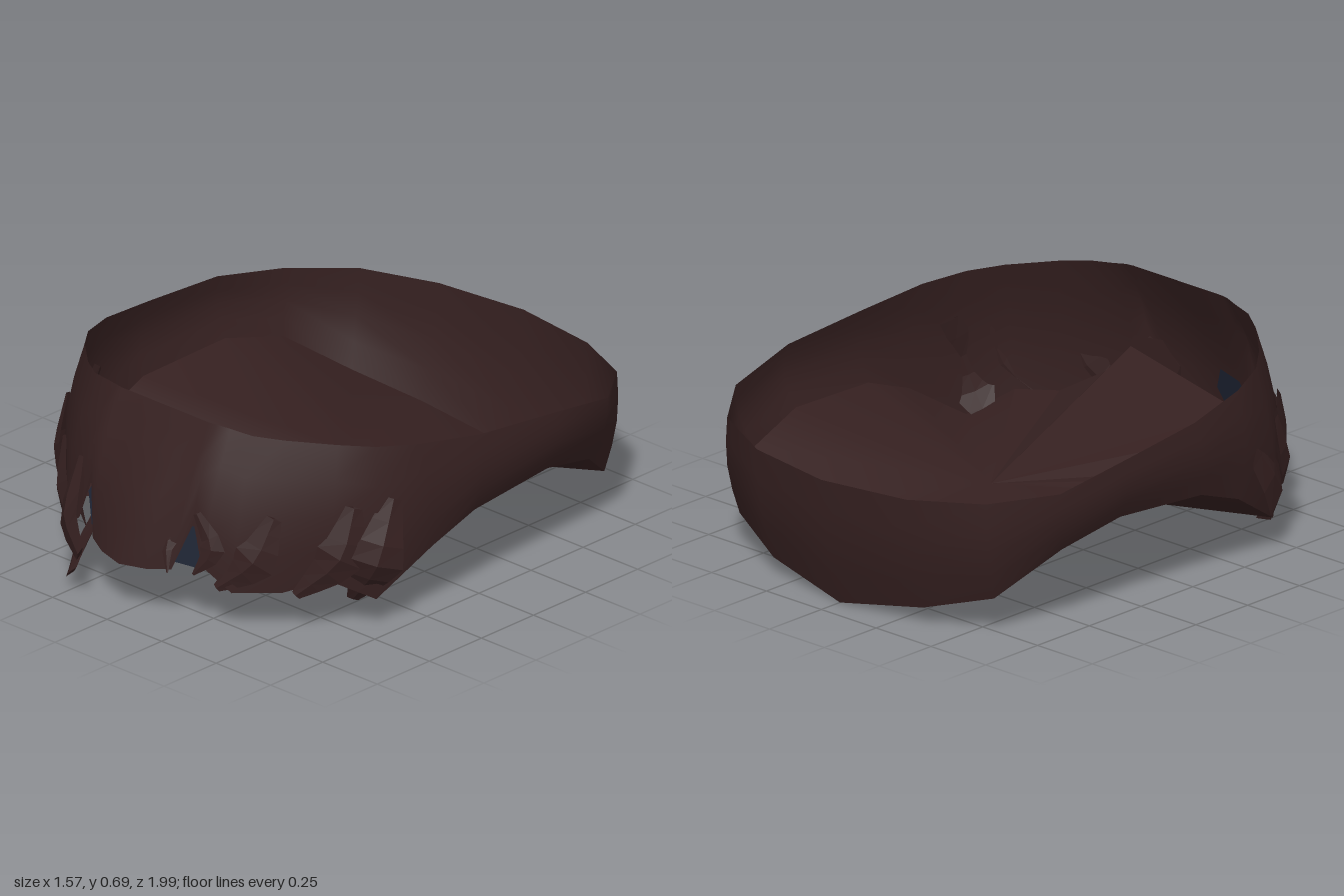
import * as THREE from 'three';

const hair = new THREE.MeshStandardMaterial({ color: 0x352020, side: THREE.DoubleSide });
hair.name = 'darkBrownHair';
const slate = new THREE.MeshStandardMaterial({ color: 0x1f2535, side: THREE.DoubleSide });
slate.name = 'slateBlue';

// Left half of the band, back to front: top rim x y z, then lower edge x y z
const half = [
  [0, 0.46, -1, 0, 0, -0.91],
  [0.34, 0.465, -0.95, 0.34, 0.06, -0.87],
  [0.59, 0.48, -0.83, 0.58, 0.13, -0.78],
  [0.74, 0.5, -0.63, 0.7, 0.28, -0.58],
  [0.775, 0.555, -0.34, 0.74, 0.34, -0.34],
  [0.76, 0.585, 0, 0.76, 0.32, 0.03],
  [0.72, 0.62, 0.25, 0.75, 0.25, 0.22],
  [0.66, 0.64, 0.4, 0.7, 0.11, 0.44],
  [0.58, 0.655, 0.5, 0.6, 0.19, 0.57],
  [0.45, 0.67, 0.62, 0.5, 0.15, 0.68],
  [0.36, 0.678, 0.68, 0.38, 0.15, 0.8],
  [0.28, 0.685, 0.7, 0.28, 0.23, 0.84],
  [0.23, 0.69, 0.715, 0.235, 0.37, 0.83],
  [0.2, 0.69, 0.72, 0.18, 0.2, 0.88],
  [0.1, 0.69, 0.72, 0.1, 0.19, 0.92],
  [0, 0.69, 0.72, 0, 0.185, 0.945],
];
const mirrorRow = ([a, b, c, d, e, f]) => [-a, b, c, -d, e, f];
const ring = [...half, ...half.slice(1, -1).reverse().map(mirrorRow)];

function makeGeometry(positions, indices) {
  const g = new THREE.BufferGeometry();
  g.setAttribute('position', new THREE.Float32BufferAttribute(positions, 3));
  g.setIndex(indices);
  g.computeVertexNormals();
  return g;
}

// Outer wall: rows run from rim to lower edge with a slight outward bulge
function wallGeometry() {
  const rows = 5, n = ring.length, pos = [], idx = [];
  for (let r = 0; r < rows; r++) {
    const t = r / (rows - 1);
    for (const [x0, y0, z0, x1, y1, z1] of ring) {
      const x = x0 + (x1 - x0) * t, z = z0 + (z1 - z0) * t;
      const s = 1 + 0.035 * Math.sin(Math.PI * t) * (z > -0.5 ? 1 : 0.6);
      pos.push(Math.max(-0.785, Math.min(0.785, x * s)), y0 + (y1 - y0) * t, Math.max(-0.99 - 0.01 * (1 - t), z * s));
    }
  }
  for (let r = 0; r < rows - 1; r++) {
    for (let i = 0; i < n; i++) {
      const j = (i + 1) % n, u = r * n, l = u + n;
      idx.push(l + i, u + i, l + j, u + i, u + j, l + j);
    }
  }
  return makeGeometry(pos, idx);
}

// Floor: a fan from one inner point to the edge points, listed clockwise from above
const apex = [0, 0.22, -0.18];
function fanGeometry(edge) {
  const idx = [];
  for (let i = 1; i < edge.length; i++) idx.push(0, i + 1, i);
  return makeGeometry([apex, ...edge].flat(), idx);
}

// Lock: flat diamond section swept along a curve, narrowing to a blunt tip
function lockGeometry(points, width, tip = 0.2) {
  const curve = new THREE.CatmullRomCurve3(points.map((p) => new THREE.Vector3(...p)));
  const steps = 6, pos = [], idx = [];
  for (let i = 0; i <= steps; i++) {
    const t = i / steps, p = curve.getPoint(t);
    const out = new THREE.Vector3(p.x, 0, p.z).normalize();
    const side = curve.getTangent(t).cross(out).normalize();
    const w = width * (t < 0.5 ? 0.35 + 1.3 * t : tip + (1 - tip) * 2 * (1 - t));
    for (const [s, o] of [[1, 0], [0, 0.25], [-1, 0], [0, -0.25]]) {
      pos.push(...p.clone().addScaledVector(side, s * w).addScaledVector(out, o * w).toArray());
    }
  }
  for (let i = 0; i < steps; i++) {
    for (let k = 0; k < 4; k++) {
      const a = i * 4 + k, b = i * 4 + ((k + 1) % 4);
      idx.push(a, b, a + 4, b, b + 4, a + 4);
    }
  }
  const last = steps * 4;
  idx.push(last, last + 1, last + 2, last, last + 2, last + 3);
  const g = makeGeometry(pos, idx).toNonIndexed();
  g.computeVertexNormals();
  return g;
}

export function createModel() {
  const group = new THREE.Group();
  group.name = 'hairBand';
  const add = (name, geometry, material = hair) => {
    const mesh = new THREE.Mesh(geometry, material);
    mesh.name = name;
    group.add(mesh);
    return mesh;
  };

  add('hairWall', wallGeometry());

  // Smooth floor around the back, from one temple to the other
  const lower = (row) => row.slice(3);
  const mirrorPoint = ([x, y, z]) => [-x, y, z];
  const backEdge = half.slice(0, 9).map(lower);
  add('backFloor', fanGeometry([...backEdge.slice(1).reverse().map(mirrorPoint), ...backEdge]));

  // Folded floor at the front, with one broad fold above the fringe
  const folds = [lower(half[8]), [0.5, 0.18, 0.68], [0.37, 0.26, 0.76]];
  const frontEdge = [...folds, [0.27, 0.37, 0.78], [-0.24, 0.28, 0.76], ...folds.slice().reverse().map(mirrorPoint)];
  for (let i = 1; i < frontEdge.length; i++) {
    add('frontFloorFold', fanGeometry([frontEdge[i - 1], frontEdge[i]]));
  }

  // Loose locks hanging around the front
  const locks = {
    frontUpperLock: [[[-0.33, 0.42, 0.78], [-0.27, 0.27, 0.9], [-0.14, 0.19, 0.985]], 0.085, 0.4],
    frontLowerLock: [[[-0.31, 0.22, 0.72], [-0.28, 0.14, 0.82], [-0.24, 0.07, 0.92]], 0.09, 0.5],
    rightSideLock: [[[-0.73, 0.45, 0.28], [-0.69, 0.2, 0.46], [-0.5, 0.02, 0.57]], 0.1, 0],
    leftSideLock: [[[0.71, 0.46, 0.37], [0.715, 0.25, 0.46], [0.61, 0.09, 0.46]], 0.1, 0.2],
    leftBrowLock: [[[0.25, 0.41, 0.83], [0.32, 0.3, 0.83], [0.26, 0.2, 0.86]], 0.045, 0.1],
    noseSideLock: [[[0.23, 0.4, 0.82], [0.16, 0.3, 0.87], [0.19, 0.2, 0.91]], 0.03, 0.1],
  };
  for (const [name, spec] of Object.entries(locks)) add(name, lockGeometry(...spec));

  // Mirrored cheek and temple locks
  for (const s of [1, -1]) {
    const side = s > 0 ? 'left' : 'right';
    add(side + 'CheekLock', lockGeometry([[s * 0.48, 0.42, 0.7], [s * 0.44, 0.27, 0.755], [s * 0.33, 0.16, 0.82]], 0.075));
    add(side + 'TempleLock', lockGeometry([[s * 0.655, 0.45, 0.5], [s * 0.64, 0.28, 0.555], [s * 0.53, 0.14, 0.65]], 0.085));
  }

  // Eye plates tucked behind the gaps in the fringe, the left one backed by hair
  const addPlate = (name, radius, position, rotation, material) => {
    const plate = add(name, new THREE.CircleGeometry(radius, 6), material);
    plate.position.set(...position);
    plate.rotation.set(...rotation);
  };
  addPlate('leftEyePlate', 0.08, [0.22, 0.29, 0.845], [-0.15, 0.25, 0], slate);
  addPlate('leftEyeBacking', 0.11, [0.22, 0.31, 0.825], [-0.15, 0.25, 0], hair);
  addPlate('rightEyePlate', 0.115, [-0.2, 0.3, 0.79], [-0.3, -0.25, 0], slate);
  return group;
}
